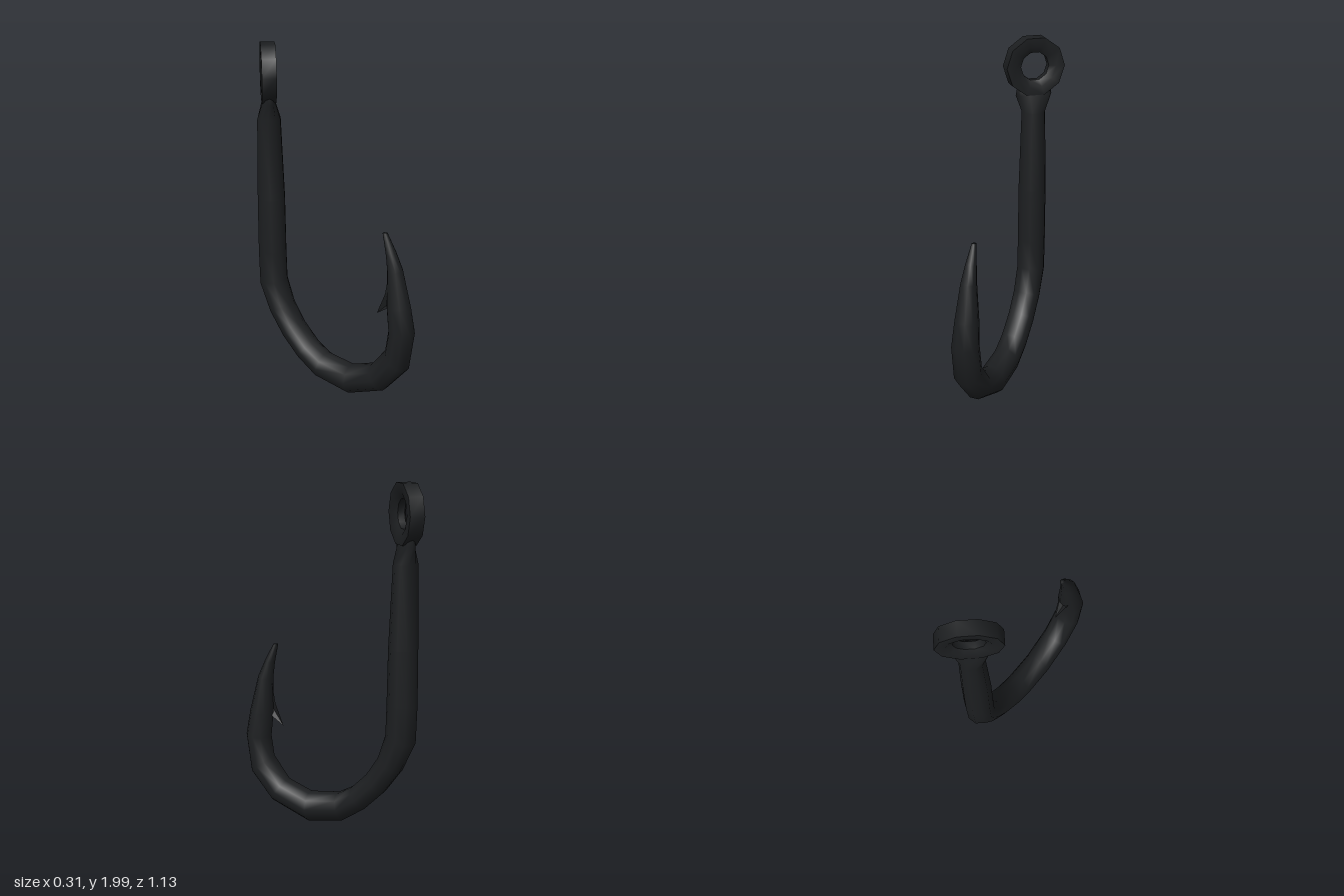
import * as THREE from 'three';
import { toCreasedNormals } from 'three/addons/utils/BufferGeometryUtils.js';

const SIDES = 10;
const EYE_TURN = 0.724; // the eye is twisted about the shank
const SHANK_Z = -0.42;

// Skin a list of elliptical sections { c: centre, u, v: half axes }
function loft(sections) {
  const pos = [], index = [];
  sections.forEach(({ c, u, v }, i) => {
    for (let k = 0; k < SIDES; k++) {
      const a = (k / SIDES) * Math.PI * 2;
      const p = c.clone().addScaledVector(u, Math.cos(a)).addScaledVector(v, Math.sin(a) / 0.951);
      pos.push(p.x, p.y, p.z);
      if (i === sections.length - 1) continue;
      const a0 = i * SIDES + k, b0 = i * SIDES + (k + 1) % SIDES;
      index.push(a0, b0, a0 + SIDES, b0, b0 + SIDES, a0 + SIDES);
    }
  });
  const geo = new THREE.BufferGeometry();
  geo.setAttribute('position', new THREE.Float32BufferAttribute(pos, 3));
  geo.setIndex(index);
  geo.computeVertexNormals();
  return geo;
}

// Flattened section that leads into the eye
function neckSection(y, wide, thin) {
  const cos = Math.cos(EYE_TURN), sin = Math.sin(EYE_TURN);
  return {
    c: new THREE.Vector3(0, y, SHANK_Z),
    u: new THREE.Vector3(cos * wide, 0, -sin * wide),
    v: new THREE.Vector3(sin * thin, 0, cos * thin),
  };
}

// Section spanning the outer and inner edge of the bend, with half width w
function bendSection([zo, yo, zi, yi, w]) {
  return {
    c: new THREE.Vector3(0, (yo + yi) / 2, (zo + zi) / 2),
    u: new THREE.Vector3(w, 0, 0),
    v: new THREE.Vector3(0, (yi - yo) / 2, (zi - zo) / 2),
  };
}

export function createModel() {
  const group = new THREE.Group();
  const material = new THREE.MeshStandardMaterial({ color: 0x1c1e20 });
  const add = (name, geo) => {
    const mesh = new THREE.Mesh(geo, material);
    mesh.name = name;
    group.add(mesh);
    return mesh;
  };

  // Shank, bend and point: outer z, outer y, inner z, inner y, half width
  const edges = [
    [-0.485, 1.57, -0.355, 1.57, 0.07],
    [-0.492, 1.1, -0.335, 1.1, 0.082],
    [-0.494, 0.78, -0.33, 0.78, 0.083],
    [-0.487, 0.56, -0.325, 0.6, 0.083],
    [-0.41, 0.39, -0.28, 0.46, 0.083],
    [-0.31, 0.25, -0.21, 0.35, 0.083],
    [-0.2, 0.14, -0.11, 0.25, 0.083],
    [-0.06, 0.045, -0.02, 0.2, 0.083],
    [0.16, 0.006, 0.16, 0.175, 0.083],
    [0.4, 0.1, 0.31, 0.23, 0.083],
    [0.537, 0.26, 0.41, 0.36, 0.083],
    [0.57, 0.49, 0.428, 0.485, 0.08],
    [0.543, 0.64, 0.41, 0.63, 0.068],
    [0.49, 0.85, 0.405, 0.84, 0.046],
    [0.445, 0.95, 0.39, 0.94, 0.032],
    [0.392, 1.05, 0.364, 1.05, 0.014],
    [0.378, 1.052, 0.378, 1.052, 0],
  ];
  add('shankAndBend', loft([
    neckSection(1.71, 0.1, 0.03),
    neckSection(1.67, 0.108, 0.037),
    ...edges.map(bendSection),
  ]));

  // Eye: ring with a flat rim and a bevelled hole
  const rim = [[0.083, -0.02], [0.12, -0.041], [0.172, -0.041], [0.172, 0.041],
    [0.12, 0.041], [0.083, 0.02], [0.083, -0.02]].map(([r, y]) => new THREE.Vector2(r, y));
  const ring = new THREE.LatheGeometry(rim, 10, Math.PI / 10);
  ring.rotateX(Math.PI / 2);
  const eye = add('eye', toCreasedNormals(ring, 0.9));
  eye.position.set(0, 1.836, SHANK_Z);
  eye.rotation.y = EYE_TURN;

  // Barb: a small spike cut back from the inside of the point
  const top = [0, 0.84, 0.41], ridge = [0, 0.69, 0.385], tip = [0, 0.56, 0.333], under = [0, 0.625, 0.43];
  const left = [0.045, 0.68, 0.45], right = [-0.045, 0.68, 0.45];
  const faces = [
    top, ridge, left, ridge, tip, left, tip, under, left,
    top, right, ridge, ridge, right, tip, tip, right, under,
  ];
  const barb = new THREE.BufferGeometry();
  barb.setAttribute('position', new THREE.Float32BufferAttribute(faces.flat(), 3));
  barb.computeVertexNormals();
  add('barb', barb);

  return group;
}
